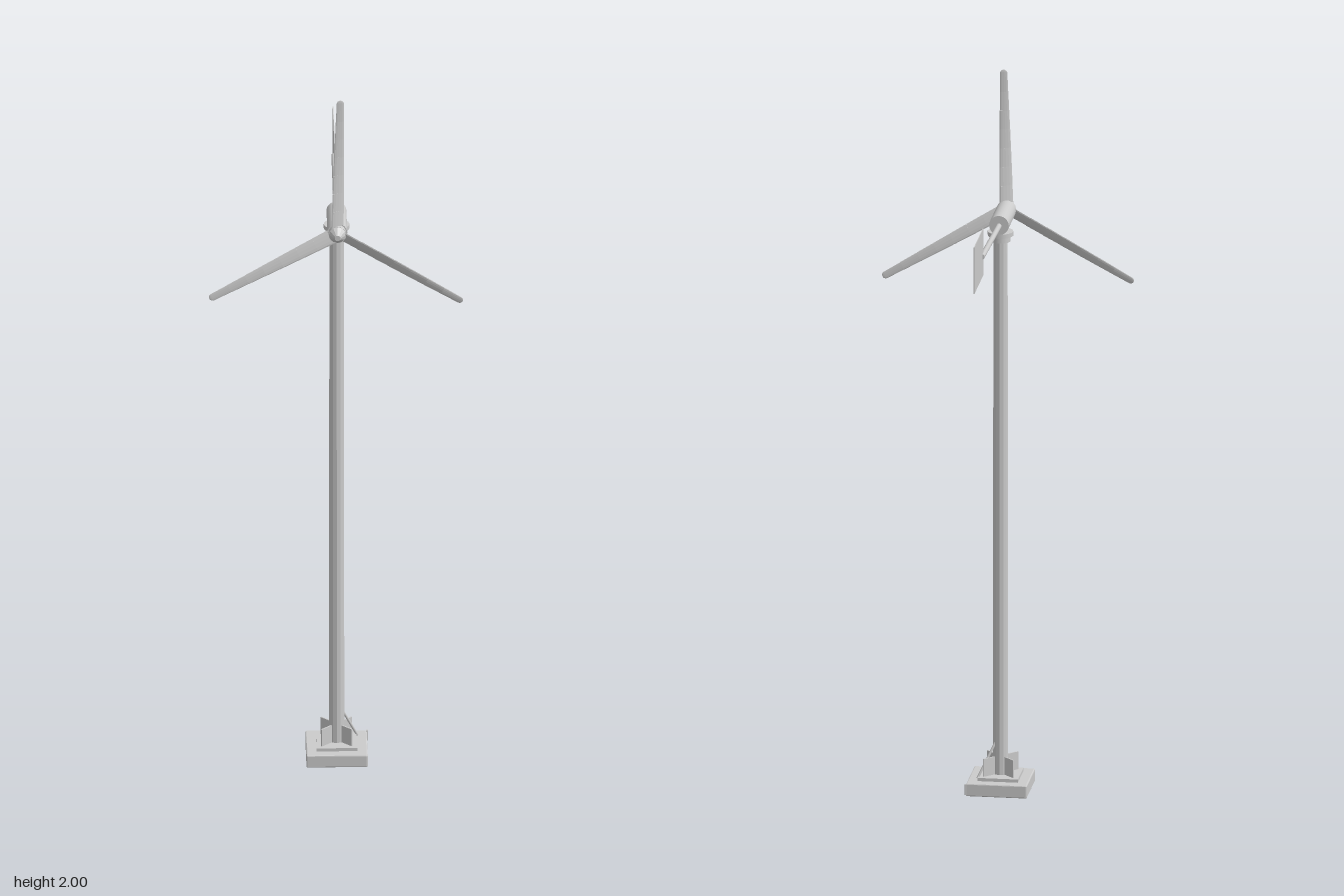
import * as THREE from 'three';
import { RoundedBoxGeometry } from 'three/addons/geometries/RoundedBoxGeometry.js';

const smooth = new THREE.MeshStandardMaterial({ color: 0xcccccc });
const faceted = new THREE.MeshStandardMaterial({ color: 0xcccccc, flatShading: true });

function add(parent, name, geometry, x = 0, y = 0, z = 0, material = faceted) {
  const mesh = new THREE.Mesh(geometry, material);
  mesh.name = name;
  mesh.position.set(x, y, z);
  parent.add(mesh);
  return mesh;
}

// Straight round bar between two points
function bar(parent, name, a, b, radius) {
  const path = new THREE.LineCurve3(new THREE.Vector3(...a), new THREE.Vector3(...b));
  const mesh = add(parent, name, new THREE.CylinderGeometry(radius, radius, path.getLength(), 12), 0, 0, 0, smooth);
  mesh.position.copy(path.getPoint(0.5));
  mesh.quaternion.setFromUnitVectors(new THREE.Vector3(0, 1, 0), path.getTangent(0));
  return mesh;
}

// Blade pointing up: flattened, tapering sections, each with less twist
function createBlade() {
  const blade = new THREE.Group();
  blade.name = 'blade';
  const count = 7, start = 0.015, step = 0.053;
  const halfChord = (t) => 0.021 - 0.0115 * t;
  for (let i = 0; i < count; i++) {
    const t = i / count;
    const twist = THREE.MathUtils.degToRad(36 - 30 * t);
    const flat = 0.2 - 0.05 * t;
    const section = new THREE.CylinderGeometry(halfChord(t + 0.75 / count), halfChord(t), step, 12);
    section.scale(1, 1, flat).rotateY(twist);
    add(blade, 'bladeSection', section, 0, start + step * (i + 0.5), 0);
    if (i === count - 1) {
      // Rounded tip
      const r = halfChord(t + 0.75 / count);
      const tip = new THREE.SphereGeometry(r, 12, 6, 0, Math.PI * 2, 0, Math.PI / 2);
      tip.scale(1, 1, flat).rotateY(twist);
      add(blade, 'bladeTip', tip, 0, start + step * count, 0);
    }
  }
  return blade;
}

export function createModel() {
  const model = new THREE.Group();
  model.name = 'windTurbine';
  const cx = 0.003, cz = 0.184, axisY = 1.605;

  // Stepped foundation
  add(model, 'foundation', new RoundedBoxGeometry(0.166, 0.036, 0.166, 1, 0.003), cx, 0.018, cz);
  add(model, 'basePlate', new THREE.BoxGeometry(0.11, 0.009, 0.11), cx, 0.0405, cz);

  // Diagonal stiffeners round the tower foot
  for (let i = 0; i < 4; i++) {
    const angle = Math.PI / 4 + i * Math.PI / 2;
    const fin = add(model, 'footGusset', new THREE.BoxGeometry(0.045, 0.05, 0.004),
      cx + Math.cos(angle) * 0.036, 0.07, cz - Math.sin(angle) * 0.036);
    fin.rotation.y = angle;
  }

  // Earthing conduit and pin at the rear left corner
  bar(model, 'conduit', [cx + 0.012, 0.135, cz - 0.012], [0.06, 0.04, 0.142], 0.0035);
  bar(model, 'earthPin', [0.087, 0.005, 0.1], [0.087, 0.035, 0.1], 0.003);

  // Tower in three lengths
  const joints = [0.04, 0.52, 1.035, 1.56];
  for (let i = 0; i < 3; i++) {
    const length = joints[i + 1] - joints[i];
    add(model, 'towerSection', new THREE.CylinderGeometry(0.0205 - 0.0005 * i, 0.021 - 0.0005 * i, length, 12),
      cx, joints[i] + length / 2, cz);
  }

  // Yaw bearing
  add(model, 'yawCollar', new THREE.CylinderGeometry(0.027, 0.027, 0.02, 16), cx, 1.562, cz, smooth);
  add(model, 'yawFlange', new THREE.CylinderGeometry(0.035, 0.035, 0.012, 16), cx, 1.574, cz, smooth);

  // Nacelle
  const nacelle = new THREE.CylinderGeometry(0.027, 0.027, 0.145, 24).rotateX(Math.PI / 2);
  add(model, 'nacelle', nacelle, cx, axisY, 0.2245, smooth);

  // Tail boom and vane
  bar(model, 'tailBoom', [cx, 1.603, 0.16], [cx, 1.618, -0.18], 0.0075);
  add(model, 'tailVane', new THREE.BoxGeometry(0.002, 0.132, 0.176), cx, 1.626, -0.246);

  // Rotor: hub, nose cone and three blades
  const rotor = new THREE.Group();
  rotor.name = 'rotor';
  rotor.position.set(cx, axisY, 0.302);
  rotor.rotation.z = -0.02;
  add(rotor, 'hub', new THREE.CylinderGeometry(0.024, 0.024, 0.02, 16).rotateX(Math.PI / 2));
  add(rotor, 'noseCone', new THREE.CylinderGeometry(0.008, 0.024, 0.023, 12).rotateX(Math.PI / 2), 0, 0, 0.0205);
  for (let i = 0; i < 3; i++) {
    const blade = createBlade();
    blade.rotation.z = i * Math.PI * 2 / 3;
    rotor.add(blade);
  }
  model.add(rotor);

  return model;
}
